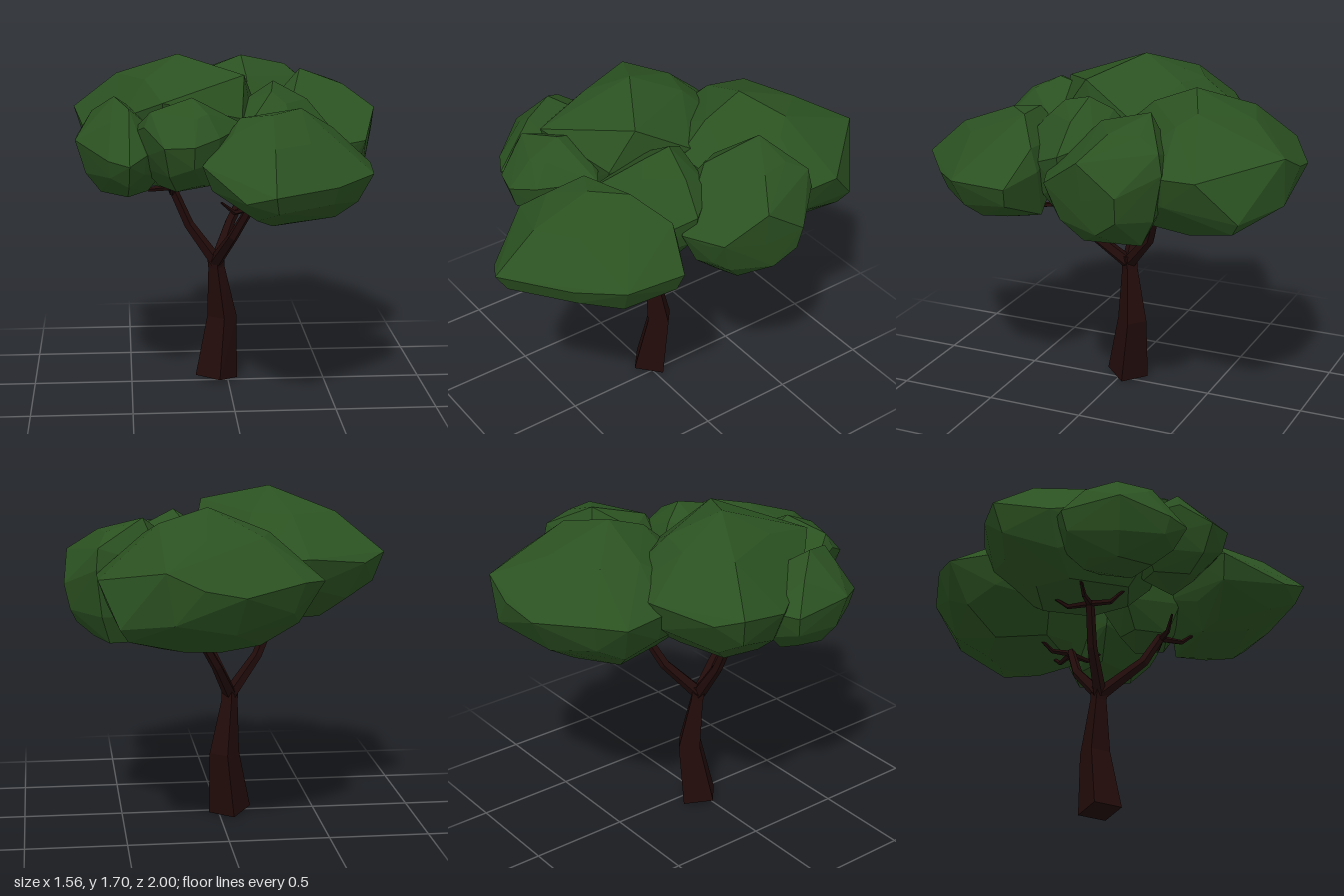
import * as THREE from 'three';
import { ConvexGeometry } from 'three/addons/geometries/ConvexGeometry.js';

const V = (p) => new THREE.Vector3(...p);

// Faceted leaf clump: a widest outline, drawn in towards its top points and a rounded underside.
function clump(outline, tops, bottom) {
  const points = tops.map(V);
  const t = points[0], b = V(bottom);
  outline.forEach((p, i) => {
    const rim = V(p);
    points.push(rim);
    if (i % 2 === 0) {
      const up = rim.clone().lerp(t, 0.42);
      up.y = rim.y + (t.y - rim.y) * 0.62;
      points.push(up);
    }
    const low = rim.clone().lerp(b, i % 2 ? 0.2 : 0.1);
    low.y = rim.y + (b.y - rim.y) * (i % 2 ? 0.6 : 0.42);
    const under = rim.clone().lerp(b, 0.5);
    under.y = b.y + (rim.y - b.y) * (i % 2 ? 0.04 : 0.13);
    points.push(low, under);
  });
  return new ConvexGeometry(points);
}

// Tapered wooden limb: rings of corners set along a path, closed at both ends.
function limb(path, radii, sides, twist = 0.3) {
  const pts = path.map(V);
  const pos = [], index = [];
  const up = new THREE.Vector3(0, 1, 0);
  pts.forEach((p, i) => {
    const dir = pts[Math.min(i + 1, pts.length - 1)].clone().sub(pts[Math.max(i - 1, 0)]).normalize();
    const q = new THREE.Quaternion().setFromUnitVectors(up, dir);
    for (let s = 0; s < sides; s++) {
      const a = (s / sides) * Math.PI * 2 + twist;
      const v = new THREE.Vector3(Math.sin(a) * radii[i], 0, Math.cos(a) * radii[i]).applyQuaternion(q).add(p);
      pos.push(v.x, Math.max(v.y, 0), v.z);
    }
  });
  for (let r = 0; r < pts.length - 1; r++) {
    for (let s = 0; s < sides; s++) {
      const a = r * sides + s, b = r * sides + (s + 1) % sides;
      index.push(a, b, b + sides, a, b + sides, a + sides);
    }
  }
  const last = (pts.length - 1) * sides;
  for (let s = 1; s < sides - 1; s++) {
    index.push(0, s + 1, s, last, last + s, last + s + 1);
  }
  const g = new THREE.BufferGeometry();
  g.setAttribute('position', new THREE.Float32BufferAttribute(pos, 3));
  g.setIndex(index);
  const flat = g.toNonIndexed();
  flat.computeVertexNormals();
  return flat;
}

export function createModel() {
  const tree = new THREE.Group();
  tree.name = 'tree';
  const bark = new THREE.MeshStandardMaterial({ color: 0x210b0a, flatShading: true });
  bark.name = 'dark bark';
  const leaf = new THREE.MeshStandardMaterial({ color: 0x2b5121, flatShading: true });
  leaf.name = 'leaf green';
  const add = (name, geometry, material) => {
    const mesh = new THREE.Mesh(geometry, material);
    mesh.name = name;
    tree.add(mesh);
  };

  // Four-sided trunk, leaning slightly and narrowing to the fork
  add('trunk', limb(
    [[-0.058, 0.012, -0.025], [-0.027, 0.33, -0.062], [-0.057, 0.6, -0.035], [-0.06, 0.67, -0.025]],
    [0.11, 0.077, 0.042, 0.046], 4, 0.1), bark);

  // Three branches, each ending in a spray of three twigs
  const fork = [-0.06, 0.63, -0.027];
  const branches = {
    rightBranch: [[-0.2, 0.83, -0.02], [-0.29, 1.04, 0]],
    frontBranch: [[0.015, 0.81, 0.18], [0.1, 0.98, 0.25]],
    backBranch: [[0.025, 0.81, -0.18], [0.12, 0.98, -0.25]],
  };
  for (const [name, [knee, tip]] of Object.entries(branches)) {
    add(name, limb([fork, knee, tip], [0.036, 0.027, 0.023], 5), bark);
    const out = Math.atan2(tip[2] + 0.02, tip[0] + 0.06);
    for (const turn of [-1.5, 0, 1.5]) {
      const c = Math.cos(out + turn), s = Math.sin(out + turn);
      const at = (d, h) => [tip[0] + c * d, tip[1] + h, tip[2] + s * d];
      add(name + 'Twig', limb([at(-0.01, -0.01), at(0.11, -0.02), at(0.19, 0.04)], [0.018, 0.013, 0.006], 5), bark);
    }
  }

  // Foliage clumps
  add('backFoliage', clump([
    [-0.4, 1.34, -0.5], [-0.42, 1.33, -0.72], [-0.31, 1.34, -0.83], [-0.02, 1.3, -0.98],
    [0.17, 1.34, -1], [0.34, 1.42, -0.98], [0.54, 1.14, -0.83], [0.63, 1.34, -0.65],
    [0.63, 1.34, -0.48], [0.5, 1.3, -0.2], [0.12, 1.42, -0.08], [-0.3, 1.34, -0.2],
  ], [[0.1, 1.645, -0.45], [0.34, 1.585, -0.55], [0.3, 1.18, -0.97]], [0.14, 0.985, -0.42]), leaf);

  add('topFoliage', clump([
    [-0.78, 1.4, -0.33], [-0.67, 1.36, -0.42], [-0.38, 1.4, -0.545], [-0.15, 1.38, -0.55],
    [-0.05, 1.42, -0.45], [0.14, 1.45, -0.13], [0.11, 1.42, 0.08], [0.05, 1.42, 0.29],
    [-0.11, 1.45, 0.34], [-0.34, 1.52, 0.43], [-0.54, 1.42, 0.23], [-0.73, 1.34, -0.05],
  ], [[-0.25, 1.7, -0.04], [0.07, 1.615, 0.15]], [-0.3, 1.05, 0]), leaf);

  add('leftFoliage', clump([
    [0.78, 1.27, -0.32], [0.63, 1.36, -0.49], [0.76, 1.41, -0.12], [0.69, 1.27, 0.08],
    [0.61, 1.24, 0.11], [0.48, 1.25, 0.17], [0.16, 1.28, -0.06], [0.3, 1.35, -0.42],
  ], [[0.4, 1.585, -0.34], [0.58, 1.52, -0.36], [0.34, 1.5, -0.06], [0.62, 1.46, -0.47],
    [0.72, 1.06, -0.2]], [0.5, 0.965, -0.24]), leaf);

  add('frontFoliage', clump([
    [0.15, 1.17, 1], [0.02, 1.13, 0.93], [-0.165, 1.26, 0.67], [-0.07, 1.3, 0.48],
    [0.05, 1.32, 0.28], [0.5, 1.25, 0.21], [0.68, 1.2, 0.3], [0.65, 1.2, 0.6], [0.46, 1.17, 0.77],
  ], [[0.18, 1.47, 0.5], [0.33, 1.48, 0.36], [0.5, 1.365, 0.24], [0.03, 1.445, 0.42],
    [0.4, 1, 0.24]], [0.3, 0.97, 0.46]), leaf);

  add('middleFoliage', clump([
    [0.12, 1.4, -0.12], [0.4, 1.4, -0.05], [0.51, 1.34, 0.1], [0.45, 1.28, 0.25],
    [0.3, 1.34, 0.38], [0.04, 1.36, 0.42], [-0.06, 1.3, 0.1],
  ], [[0.22, 1.575, 0.06], [0.2, 1.54, 0.2]], [0.2, 0.99, 0.14]), leaf);

  add('frontRightFoliage', clump([
    [-0.2, 1.35, 0.7], [-0.34, 1.34, 0.66], [-0.43, 1.42, 0.52], [-0.5, 1.36, 0.34],
    [-0.25, 1.4, 0.15], [0.06, 1.4, 0.36], [-0.08, 1.38, 0.62],
  ], [[-0.2, 1.545, 0.42], [-0.4, 1.49, 0.5], [-0.18, 1.47, 0.58]], [-0.22, 1.1, 0.38]), leaf);

  add('rightFoliage', clump([
    [-0.76, 1.3, 0.02], [-0.76, 1.33, 0.32], [-0.6, 1.26, 0.52], [-0.5, 1.24, 0.575],
    [-0.42, 1.28, 0.5], [-0.3, 1.3, 0.3], [-0.4, 1.3, 0], [-0.62, 1.32, -0.08],
  ], [[-0.57, 1.53, 0.24], [-0.5, 1.49, 0.4]], [-0.52, 1.055, 0.22]), leaf);

  return tree;
}
